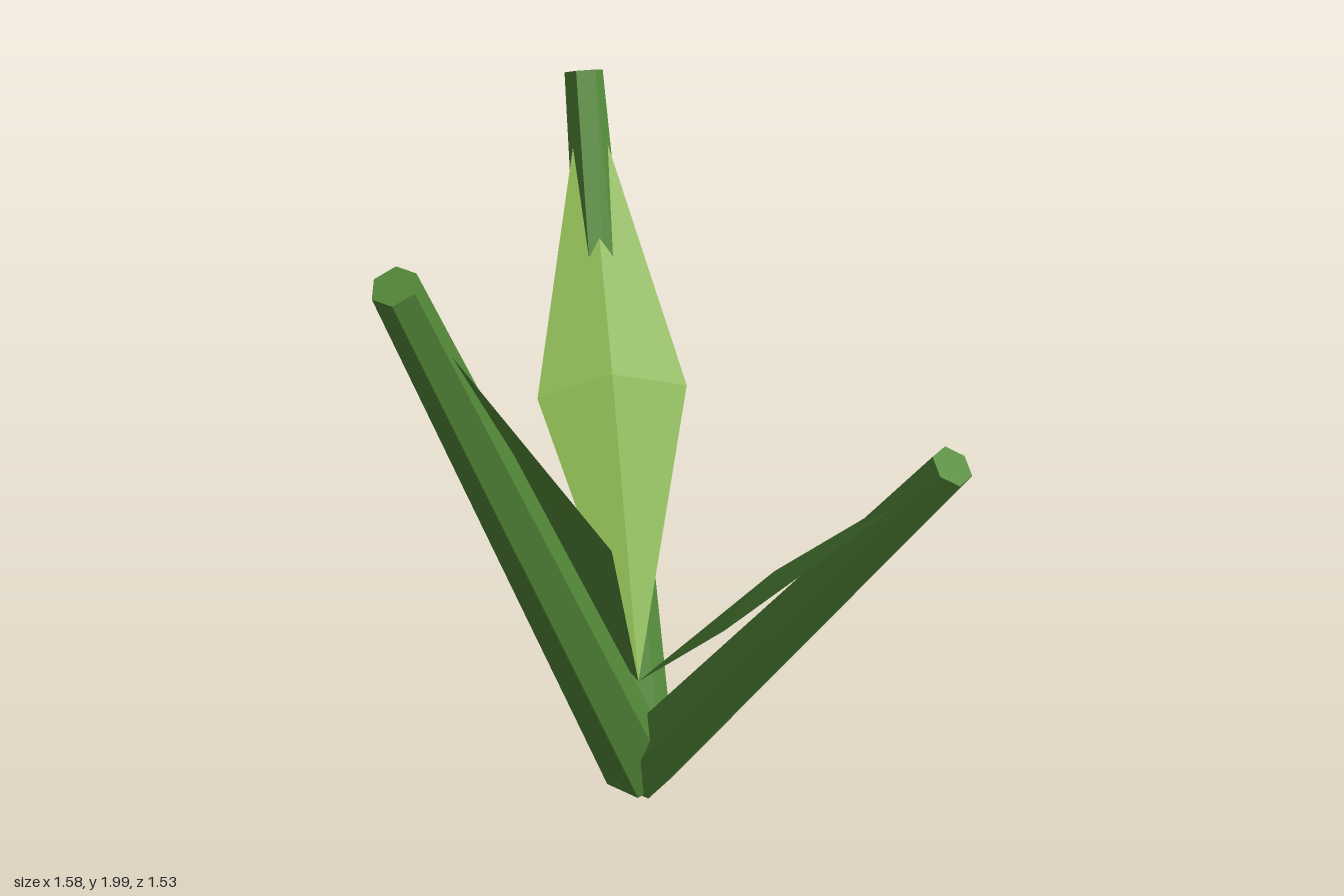
import * as THREE from 'three';

const BASE = new THREE.Vector3(-0.11, 0.05, -0.14);
const mat = (color, side = THREE.FrontSide) =>
  new THREE.MeshStandardMaterial({ color, side, flatShading: true });

// Tapered six-sided stem from the shared base to its tip
function makeStem(tip, name) {
  const d = tip.clone().sub(BASE);
  const geo = new THREE.CylinderGeometry(0.05, 0.1, d.length(), 6);
  geo.rotateY(Math.PI / 6);
  const stem = new THREE.Mesh(geo, mat(0x558b3a));
  stem.name = name;
  stem.position.copy(BASE).add(tip).multiplyScalar(0.5);
  stem.rotation.order = 'YXZ';
  stem.rotation.y = Math.atan2(d.x, d.z);
  stem.rotation.x = Math.atan2(Math.hypot(d.x, d.z), d.y);
  return stem;
}

// Diamond blade with a raised midrib, resting over the stem
function makeLeaf(tip, color, name) {
  const d = tip.clone().sub(BASE);
  const across = new THREE.Vector3(d.z, 0, -d.x).setLength(0.198);
  const mid = BASE.clone().addScaledVector(d, 0.48);
  const start = BASE.clone().setY(0.35);
  const rib = mid.clone().setY(mid.y + 0.21);
  const edge = mid.clone().setY(mid.y + 0.155);
  const a = edge.clone().add(across);
  const b = edge.clone().sub(across);
  const geo = new THREE.BufferGeometry().setFromPoints([
    start, a, rib, start, rib, b, rib, a, tip, rib, tip, b,
  ]);
  geo.computeVertexNormals();
  const leaf = new THREE.Mesh(geo, mat(color, THREE.DoubleSide));
  leaf.name = name;
  return leaf;
}

export function createModel() {
  const group = new THREE.Group();
  group.name = 'plant';
  const shoots = [
    ['front', -0.035, 1.98, 0.72, 0x558b3a],
    ['left', 0.75, 1.42, -0.14, 0x558b3a],
    ['back', -0.745, 1.7, -0.72, 0x8bb84f],
  ];
  for (const [where, x, y, z, leafColor] of shoots) {
    const tip = new THREE.Vector3(x, y, z);
    group.add(makeStem(tip, where + 'Stem'), makeLeaf(tip, leafColor, where + 'Leaf'));
  }
  return group;
}
